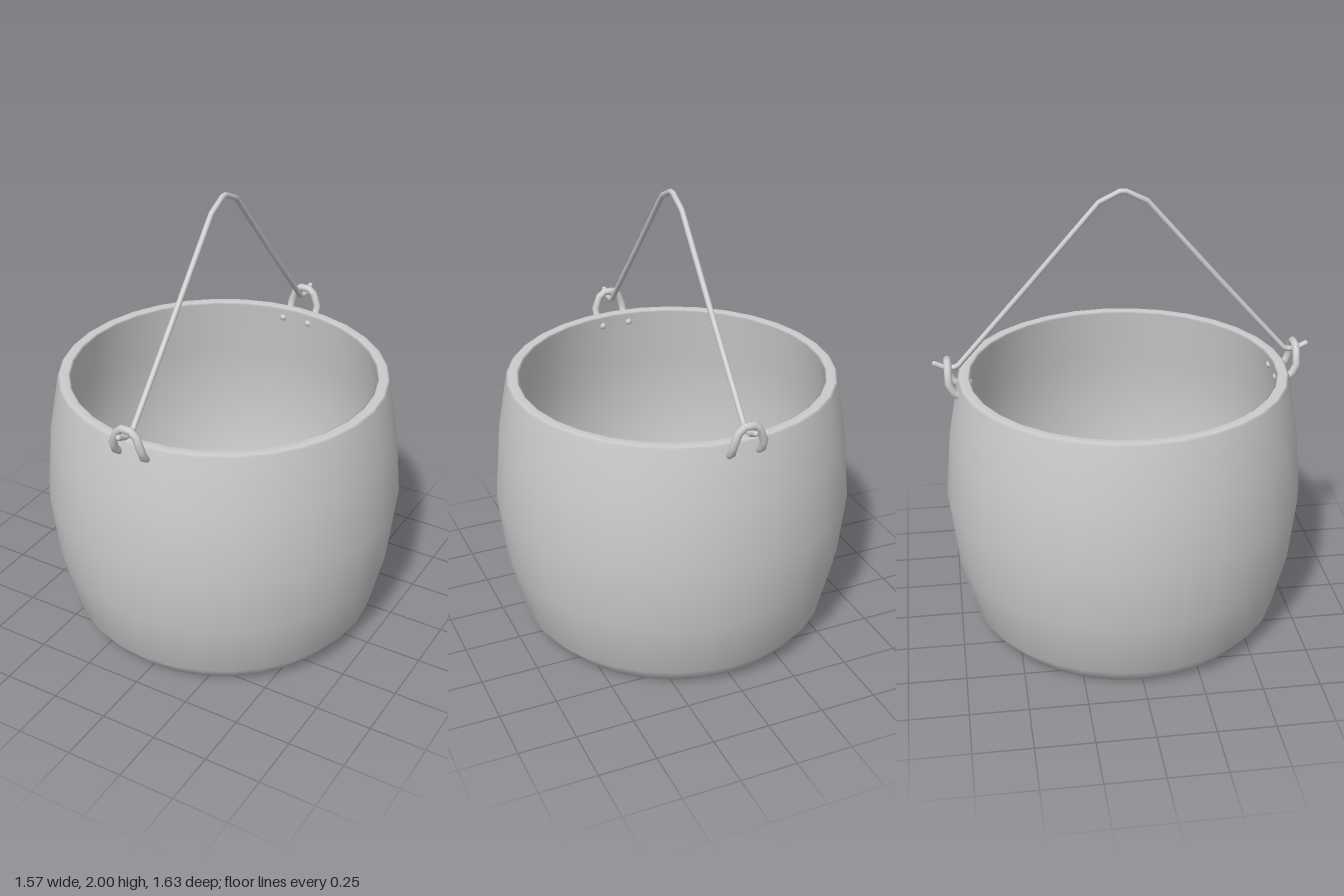
import * as THREE from 'three';

const material = new THREE.MeshStandardMaterial({ color: 0xcccccc, side: THREE.DoubleSide });

// Curve whose tube rings land exactly on the given points, so bends stay crisp
class WirePath extends THREE.Curve {
  constructor(points) {
    super();
    this.points = points;
  }
  getPointAt(u, target = new THREE.Vector3()) {
    return target.copy(this.points[Math.round(u * (this.points.length - 1))]);
  }
  getTangentAt(u, target = new THREE.Vector3()) {
    const p = this.points, i = Math.round(u * (p.length - 1));
    target.set(0, 0, 0);
    if (i > 0) target.add(p[i].clone().sub(p[i - 1]).normalize());
    if (i < p.length - 1) target.add(p[i + 1].clone().sub(p[i]).normalize());
    return target.normalize();
  }
}

// Bent wire with rounded ends
function wire(name, coords, radius) {
  const points = coords.map(c => new THREE.Vector3(...c));
  const group = new THREE.Group();
  group.name = name;
  const tube = new THREE.Mesh(new THREE.TubeGeometry(new WirePath(points), points.length - 1, radius, 10), material);
  tube.name = name + 'Rod';
  group.add(tube);
  for (const end of [points[0], points[points.length - 1]]) {
    const cap = new THREE.Mesh(new THREE.SphereGeometry(radius, 10, 8), material);
    cap.name = name + 'End';
    cap.position.copy(end);
    group.add(cap);
  }
  return group;
}

export function createModel() {
  const model = new THREE.Group();
  model.name = 'cauldron';

  // Pot: outer wall from the base up, over the rim and down the inside
  const profile = [
    [0, 0], [0.61, 0], [0.69, 0.095], [0.755, 0.36], [0.785, 0.645], [0.76, 0.93],
    [0.715, 1.185], [0.705, 1.192], [0.67, 1.192], [0.66, 1.185],
    [0.705, 0.93], [0.73, 0.645], [0.7, 0.37], [0.64, 0.13], [0.57, 0.055], [0, 0.055],
  ].map(([r, y]) => new THREE.Vector2(r, y));
  const pot = new THREE.Mesh(new THREE.LatheGeometry(profile, 32), material);
  pot.name = 'pot';
  model.add(pot);

  // Bail handle: half of it listed as [z, y], mirrored across the peak
  const half = [[0.805, 1.268], [0.765, 1.248], [0.725, 1.246], [0.705, 1.255], [0.4, 1.6], [0.1, 1.945]];
  const bail = [
    ...half.map(([z, y]) => [0, y, z]),
    [0, 1.988, 0.012], [0, 1.988, -0.012],
    ...half.map(([z, y]) => [0, y, -z]).reverse(),
  ];
  model.add(wire('handle', bail, 0.012));

  // Staples through the wall that hold the handle, front and back
  const leg = [[0.065, 1.145, 0.665], [0.065, 1.145, 0.715], [0.066, 1.16, 0.735],
    [0.066, 1.2, 0.752], [0.045, 1.255, 0.752], [0.02, 1.275, 0.752]];
  const staple = [...leg, ...leg.map(([x, y, z]) => [-x, y, z]).reverse()];
  for (const [name, turn] of [['frontStaple', 0], ['backStaple', Math.PI]]) {
    const part = wire(name, staple, 0.017);
    part.rotation.y = turn;
    model.add(part);
  }
  return model;
}
